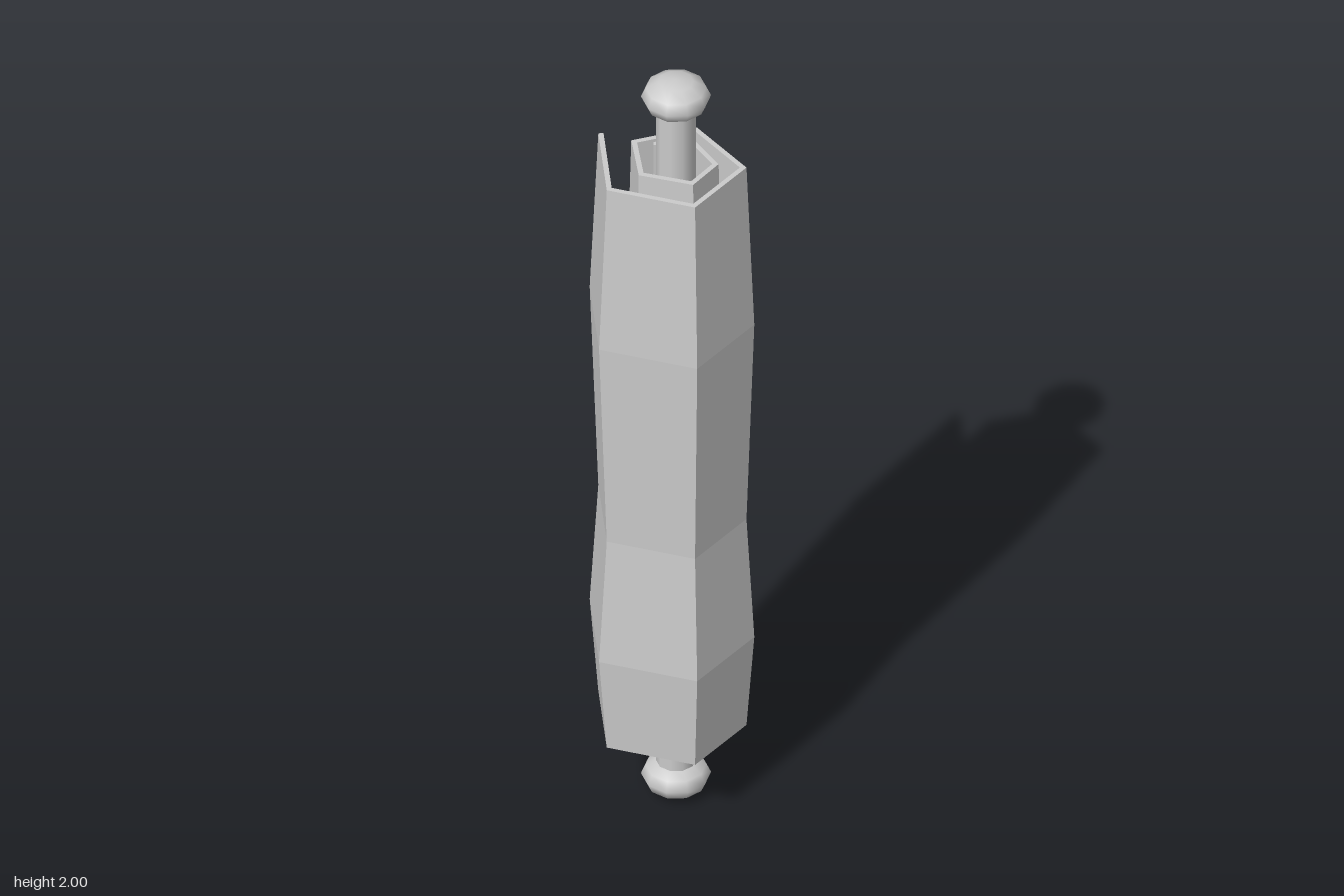
import * as THREE from 'three';

const AXIS = new THREE.Vector2(0.018, -0.014); // rod centre (x, z)
const THICK = 0.013;

// Outer face of the rolled sheet, from the loose edge inward (x, z)
const SPIRAL = [
  [-0.197, -0.066], [-0.113, 0.148], [0.116, 0.154], [0.193, -0.036],
  [0.03, -0.157], [-0.111, -0.062], [-0.054, 0.068], [0.086, 0.068],
  [0.123, -0.03], [0.038, -0.107], [-0.057, -0.071],
].map(([x, z]) => new THREE.Vector2(x, z));

// Height and scale about the rod: the sheet bulges twice
const LEVELS = [[0.2, 0.9], [0.45, 1], [0.78, 0.9], [1.33, 1], [1.77, 0.9]];

// Mitred inward offset of a spiral corner
function innerPoint(i) {
  const normal = (a, b) => new THREE.Vector2(b.y - a.y, a.x - b.x).normalize();
  const last = SPIRAL.length - 1;
  const n1 = normal(SPIRAL[Math.max(i - 1, 0)], SPIRAL[Math.max(i, 1)]);
  const n2 = normal(SPIRAL[Math.min(i, last - 1)], SPIRAL[Math.min(i + 1, last)]);
  const miter = n1.clone().add(n2).normalize();
  return SPIRAL[i].clone().addScaledVector(miter, THICK / miter.dot(n1));
}

function sheetGeometry() {
  const place = (p, [y, s]) => [
    AXIS.x + (p.x - AXIS.x) * s, y, AXIS.y + (p.y - AXIS.y) * s,
  ];
  // Each column runs up the outer face and back down the inner face
  const columns = SPIRAL.map((p, i) => [
    ...LEVELS.map((l) => place(p, l)),
    ...[...LEVELS].reverse().map((l) => place(innerPoint(i), l)),
  ]);
  const pos = [];
  const quad = (a, b, c, d) => pos.push(...a, ...b, ...c, ...a, ...c, ...d);
  const K = LEVELS.length * 2;
  for (let i = 0; i < columns.length - 1; i++) {
    const A = columns[i], B = columns[i + 1];
    for (let k = 0; k < K; k++) {
      const n = (k + 1) % K;
      quad(A[k], B[k], B[n], A[n]);
    }
  }
  // Close the two vertical edges
  const S = columns[0], E = columns[columns.length - 1];
  for (let k = 0; k < LEVELS.length - 1; k++) {
    const m = K - 1 - k;
    quad(S[m], S[k], S[k + 1], S[m - 1]);
    quad(E[k], E[m], E[m - 1], E[k + 1]);
  }
  const g = new THREE.BufferGeometry();
  g.setAttribute('position', new THREE.Float32BufferAttribute(pos, 3));
  g.computeVertexNormals();
  return g;
}

export function createModel() {
  const group = new THREE.Group();
  const smooth = new THREE.MeshStandardMaterial({ color: 0xcccccc });
  const flat = new THREE.MeshStandardMaterial({ color: 0xcccccc, flatShading: true });

  const add = (name, geometry, material) => {
    const mesh = new THREE.Mesh(geometry, material);
    mesh.name = name;
    group.add(mesh);
    return mesh;
  };

  add('rolledSheet', sheetGeometry(), flat);

  // Rod through the roll
  add('rod', new THREE.CylinderGeometry(0.045, 0.045, 1.9, 10), smooth)
    .position.set(AXIS.x, 1, AXIS.y);

  // Flattened knob on each end
  for (const [name, y] of [['bottomKnob', 0.047], ['topKnob', 1.953]]) {
    const knob = new THREE.SphereGeometry(0.078, 10, 6);
    knob.rotateY(Math.PI / 2);
    knob.scale(1, 0.047 / 0.078, 1);
    add(name, knob, smooth).position.set(AXIS.x, y, AXIS.y);
  }
  return group;
}
